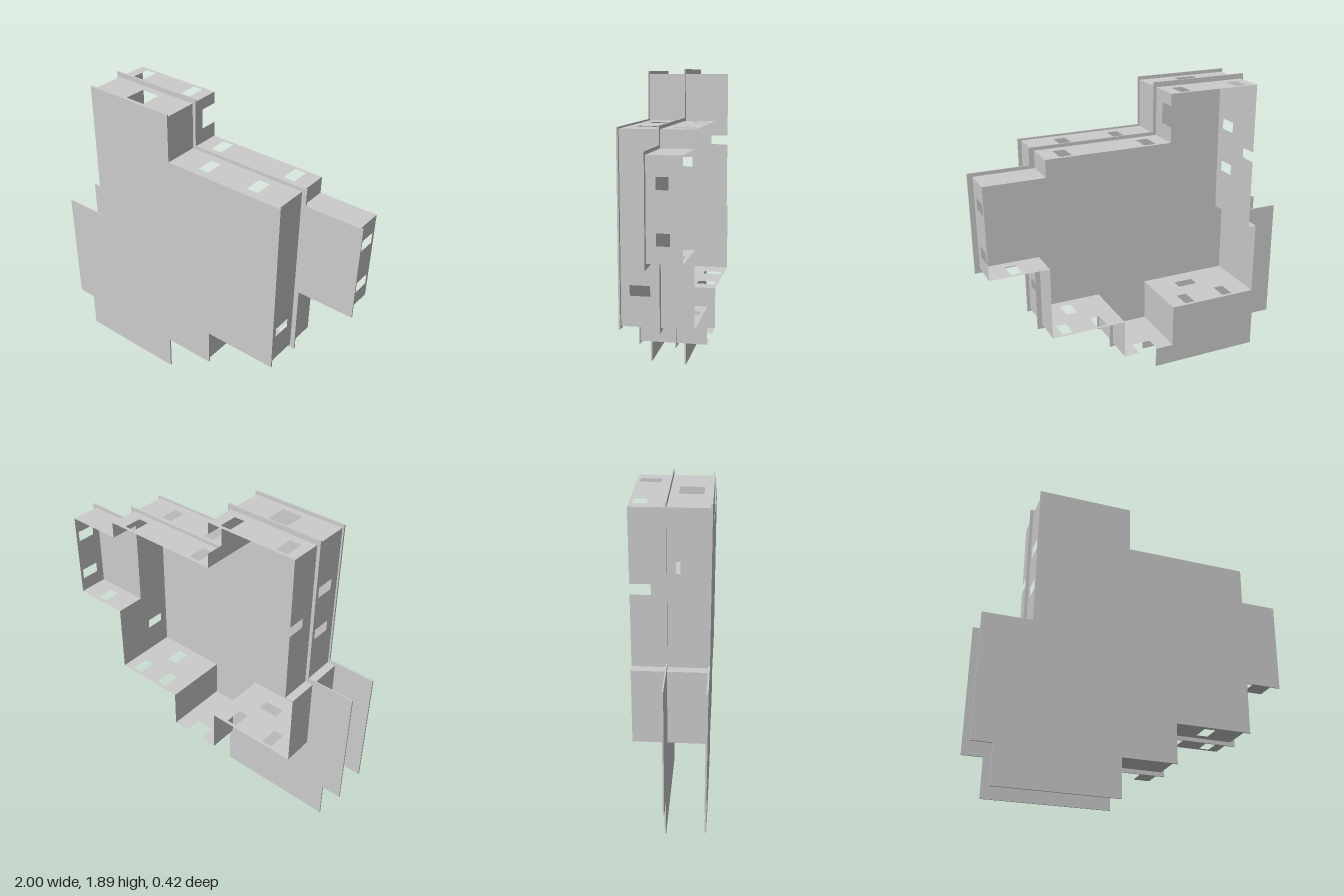
import * as THREE from 'three';

const BACK = -0.21, MID = -0.02, FRONT = 0.2;
const UPPER = [-0.19, -0.075];  // window span in z, rear storey
const LOWER = [0.03, 0.145];    // window span in z, front storey
const NOTCH = [BACK, -0.1];     // opening cut through the rear edge

const material = new THREE.MeshStandardMaterial({ color: 0xcccccc, flatShading: true, side: THREE.DoubleSide });

const vectors = (pts) => pts.map(([x, y]) => new THREE.Vector2(x, y));

// Thin wall: runs from a to b along 'x' or 'y' at a fixed position on the other axis.
// Openings are [start, end, [zMin, zMax]].
function wall(name, axis, at, a, b, openings = [], z0 = BACK, z1 = FRONT) {
  const outline = [[a, z0]];
  const notches = openings.filter((o) => o[2] === NOTCH).sort((p, q) => p[0] - q[0]);
  for (const [s, e, [, top]] of notches) outline.push([s, z0], [s, top], [e, top], [e, z0]);
  outline.push([b, z0], [b, z1], [a, z1]);
  const shape = new THREE.Shape(vectors(outline));
  for (const [s, e, [lo, hi]] of openings.filter((o) => o[2] !== NOTCH)) {
    shape.holes.push(new THREE.Path(vectors([[s, lo], [s, hi], [e, hi], [e, lo]])));
  }
  const geometry = new THREE.ShapeGeometry(shape);
  const p = geometry.attributes.position;
  for (let i = 0; i < p.count; i++) {
    const s = p.getX(i), z = p.getY(i);
    if (axis === 'x') p.setXYZ(i, s, at, z);
    else p.setXYZ(i, at, s, z);
  }
  geometry.computeVertexNormals();
  const mesh = new THREE.Mesh(geometry, material);
  mesh.name = name;
  return mesh;
}

// Thin floor plate with an optional opening
function plate(name, outline, z, depth, hole) {
  const shape = new THREE.Shape(vectors(outline));
  if (hole) shape.holes.push(new THREE.Path(vectors(hole)));
  const mesh = new THREE.Mesh(new THREE.ExtrudeGeometry(shape, { depth, bevelEnabled: false }), material);
  mesh.position.z = z;
  mesh.name = name;
  return mesh;
}

// Plate outline; d insets every edge, wing adds the side extension
function plateOutline(d, wing) {
  const side = wing
    ? [[0.65 - d, 1.5 - d], [1 - d, 1.5 - d], [1 - d, 0.91 + d], [0.65 - d, 0.91 + d]]
    : [];
  return [
    [-1 + d, 1 - d], [-0.71 + d, 1 - d], [-0.71 + d, 1.89 - d], [-0.11 - d, 1.89 - d],
    [-0.11 - d, 1.6 - d], [0.65 - d, 1.6 - d], ...side, [0.65 - d, 0.47 + d],
    [0.18 - d, 0.47 + d], [0.18 - d, 0.23 + d], [-0.15 - d, 0.23 + d], [-0.15 - d, d],
    [-0.88 + d, d], [-0.88 + d, 0.23 + d], [-1 + d, 0.23 + d],
  ];
}

// Footprint of the front storey
const FOOTPRINT = [
  [-0.69, 1.86], [-0.13, 1.86], [-0.13, 1.58], [0.62, 1.58], [0.62, 0.495], [0.16, 0.495],
  [0.16, 0.255], [-0.17, 0.255], [-0.17, 0.52], [-0.74, 0.52], [-0.74, 0.97], [-0.69, 0.97],
];

export function createModel() {
  const model = new THREE.Group();
  model.name = 'twoStoreyShell';

  // Floor plates
  model.add(
    plate('frontPlate', plateOutline(0.01, false), FRONT, 0.01),
    plate('middlePlate', plateOutline(0, true), MID - 0.004, 0.008, FOOTPRINT),
  );

  // Walls shared by both storeys
  model.add(
    wall('topWall', 'x', 1.86, -0.69, -0.13, [
      [-0.63, -0.56, UPPER], [-0.265, -0.2, UPPER], [-0.465, -0.34, [0.03, 0.16]]]),
    wall('topStepWall', 'y', -0.13, 1.58, 1.86, [[1.67, 1.79, NOTCH]]),
    wall('shoulderWall', 'x', 1.58, -0.13, 0.62, [
      [-0.045, 0.025, UPPER], [0.46, 0.53, UPPER], [0.045, 0.11, LOWER], [0.375, 0.445, LOWER]]),
    wall('lowerRightWall', 'x', 0.495, 0.16, 0.62, [
      [0.49, 0.555, UPPER], [0.27, 0.335, UPPER], [0.375, 0.445, LOWER]]),
    wall('bottomStepWall', 'y', 0.16, 0.255, 0.495),
    wall('bottomWall', 'x', 0.255, -0.17, 0.16, [[-0.06, 0.06, NOTCH]]),
    wall('innerStepWall', 'y', -0.17, 0.255, 0.52),
    wall('lowerLeftWall', 'x', 0.52, -0.74, -0.17, [
      [-0.6, -0.535, UPPER], [-0.33, -0.265, UPPER], [-0.465, -0.34, [0.03, 0.1]]]),
    wall('lowerSideWall', 'y', -0.74, 0.52, 0.97),
    wall('sideLedge', 'x', 0.97, -0.74, -0.69),
    wall('upperSideWall', 'y', -0.69, 0.97, 1.86, [
      [1.51, 1.575, LOWER], [1.235, 1.3, LOWER], [1.39, 1.45, NOTCH]]),
  );

  // Long side wall: whole in the front storey, open to the wing in the rear one
  model.add(
    wall('longSideWall', 'y', 0.62, 0.495, 1.58, [[0.67, 0.73, [0.035, 0.15]]], MID, FRONT),
    wall('rearSideWallLower', 'y', 0.62, 0.495, 0.94, [], BACK, MID),
    wall('rearSideWallUpper', 'y', 0.62, 1.48, 1.58, [], BACK, MID),
  );

  // Wing on the rear storey
  model.add(
    wall('wingTop', 'x', 1.48, 0.62, 0.97, [], BACK, MID),
    wall('wingEnd', 'y', 0.97, 0.94, 1.48, [[1.31, 1.375, UPPER], [1.03, 1.095, UPPER]], BACK, MID),
    wall('wingBottom', 'x', 0.94, 0.62, 0.97, [[0.775, 0.84, UPPER]], BACK, MID),
  );

  return model;
}
